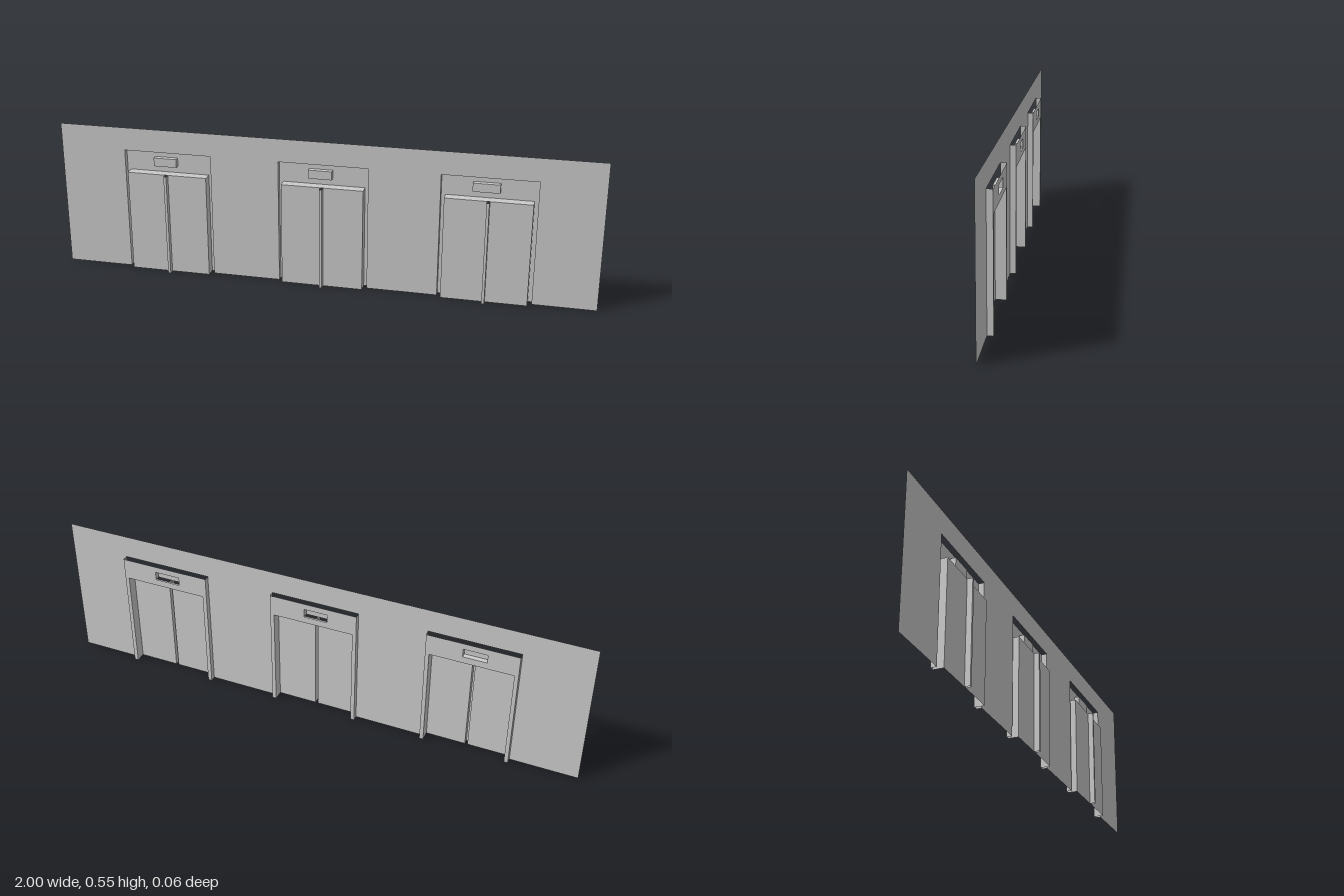
import * as THREE from 'three';

const material = new THREE.MeshStandardMaterial({ color: 0xcccccc, side: THREE.DoubleSide, flatShading: true });

// Depths of the layers, back to front
const Z = { frame: -0.028, sign: -0.009, wall: -0.007, door: 0.01, seam: 0.03 };
const WALL_H = 0.553, FRAME_H = 0.466, DOOR_H = 0.386;

// Corners of a rectangle, running up the left side, over the top and down the right
const corners = (x0, x1, y0, y1) => [[x0, y0], [x0, y1], [x1, y1], [x1, y0]].map(([x, y]) => new THREE.Vector2(x, y));

function addMesh(group, name, geometry) {
  const mesh = new THREE.Mesh(geometry, material);
  mesh.name = name;
  group.add(mesh);
}

// Flat sheet facing the front at depth z
function addSheet(group, name, outline, z) {
  addMesh(group, name, new THREE.ShapeGeometry(new THREE.Shape(outline)).translate(0, 0, z));
}

// Thin return connecting two depths along one straight edge
function addReturn(group, name, a, b, zBack, zFront) {
  const positions = [
    a.x, a.y, zBack, b.x, b.y, zBack, b.x, b.y, zFront,
    a.x, a.y, zBack, b.x, b.y, zFront, a.x, a.y, zFront,
  ];
  const geometry = new THREE.BufferGeometry();
  geometry.setAttribute('position', new THREE.Float32BufferAttribute(positions, 3));
  geometry.computeVertexNormals();
  addMesh(group, name, geometry);
}

function createElevator({ x, frameW, doorW, signW, signBottom }) {
  const group = new THREE.Group();
  group.name = 'elevator';
  const seam = 0.005;
  const frame = corners(x - frameW / 2, x + frameW / 2, 0, FRAME_H);
  const door = corners(x - doorW / 2, x + doorW / 2, 0, DOOR_H);
  const strip = corners(x - seam, x + seam, 0, DOOR_H);
  const signX = x - 0.011;
  const sign = corners(signX - signW / 2, signX + signW / 2, 0.411, 0.443);

  // Recessed surround: U-shaped panel with an opening behind the sign
  const panel = new THREE.Shape([...frame, door[3], door[2], door[1], door[0]]);
  panel.holes.push(new THREE.Path(sign));
  addMesh(group, 'framePanel', new THREE.ShapeGeometry(panel).translate(0, 0, Z.frame));
  addReturn(group, 'frameSide', frame[0], frame[1], Z.frame, Z.wall);
  addReturn(group, 'frameSide', frame[2], frame[3], Z.frame, Z.wall);

  // Door leaves with sides and top
  addSheet(group, 'doorLeaf', corners(x - doorW / 2, x - seam, 0, DOOR_H), Z.door);
  addSheet(group, 'doorLeaf', corners(x + seam, x + doorW / 2, 0, DOOR_H), Z.door);
  for (let i = 0; i < 3; i++) addReturn(group, i === 1 ? 'doorTop' : 'doorSide', door[i], door[i + 1], Z.frame, Z.door);

  // Projecting strip where the leaves meet
  addSheet(group, 'seamStrip', strip, Z.seam);
  addReturn(group, 'seamSide', strip[0], strip[1], Z.door, Z.seam);
  addReturn(group, 'seamSide', strip[2], strip[3], Z.door, Z.seam);

  // Floor indicator above the doors
  addSheet(group, 'indicatorFace', sign, Z.sign);
  const edges = signBottom ? 4 : 3;
  for (let i = 0; i < edges; i++) addReturn(group, 'indicatorEdge', sign[i], sign[(i + 1) % 4], Z.frame, Z.sign);
  return group;
}

export function createModel() {
  const model = new THREE.Group();
  model.name = 'elevatorLobby';
  const bays = [
    { x: -0.586, frameW: 0.332, doorW: 0.303, signW: 0.087, signBottom: true },
    { x: 0.002, frameW: 0.332, doorW: 0.303, signW: 0.087, signBottom: false },
    { x: 0.599, frameW: 0.342, doorW: 0.312, signW: 0.097, signBottom: false },
  ];

  // Wall outline, notched around each bay
  const outline = [new THREE.Vector2(-1, WALL_H), new THREE.Vector2(-1, 0)];
  for (const { x, frameW } of bays) outline.push(...corners(x - frameW / 2, x + frameW / 2, 0, FRAME_H));
  outline.push(new THREE.Vector2(1, 0), new THREE.Vector2(1, WALL_H));
  addSheet(model, 'wall', outline, Z.wall);

  for (const bay of bays) model.add(createElevator(bay));
  return model;
}
